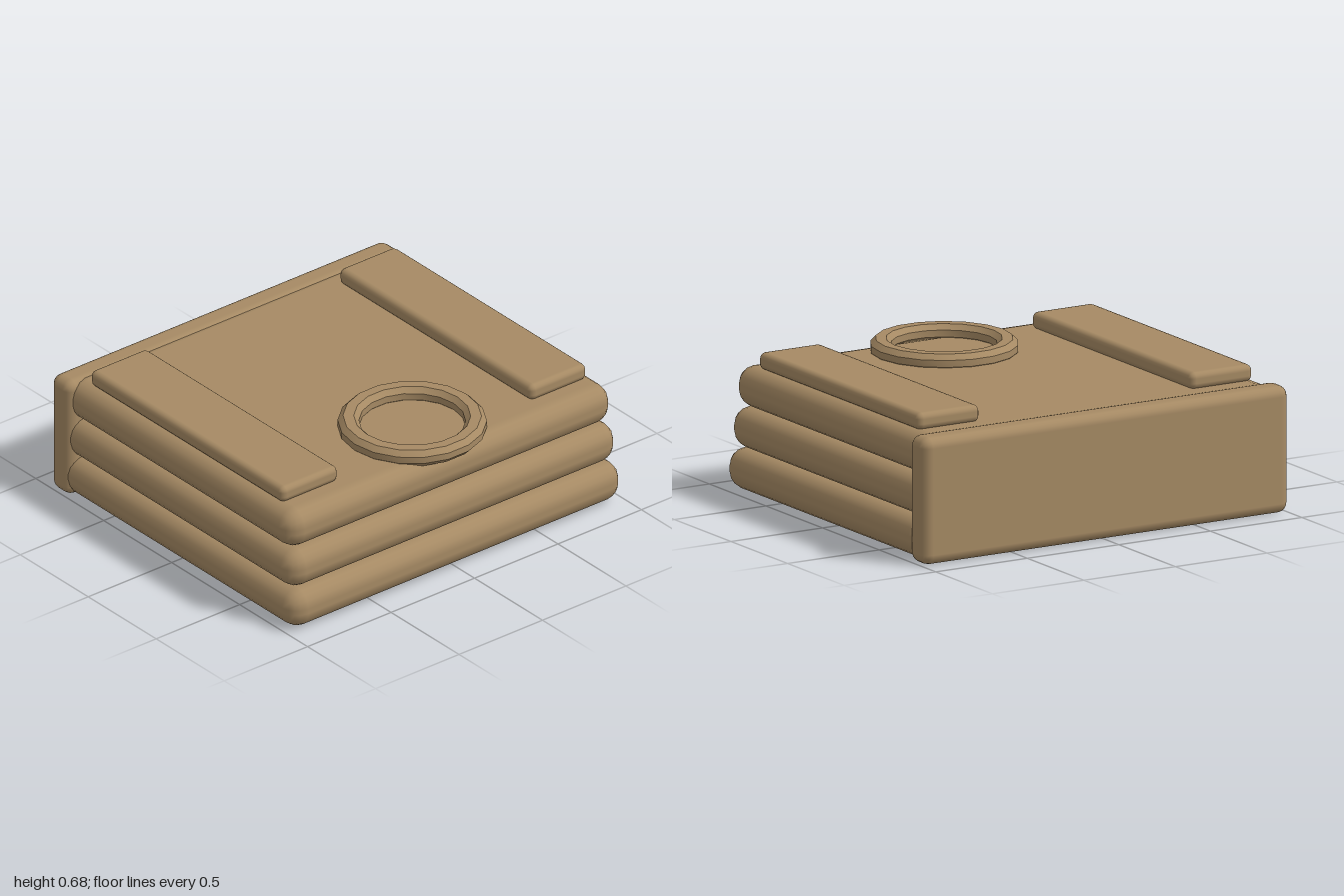
import * as THREE from 'three';
import { toCreasedNormals } from 'three/addons/utils/BufferGeometryUtils.js';
import { RoundedBoxGeometry } from 'three/addons/geometries/RoundedBoxGeometry.js';

export function createModel() {
  const model = new THREE.Group();
  model.name = 'paddedPack';
  const canvas = new THREE.MeshStandardMaterial({ color: 0xa68a64 });
  canvas.name = 'tanCanvas';

  // Rounded pad given by its extents on each axis
  function pad(name, [x0, x1], [y0, y1], [z0, z1], radius, segments = 2) {
    const geometry = new RoundedBoxGeometry(x1 - x0, y1 - y0, z1 - z0, segments, radius);
    const mesh = new THREE.Mesh(geometry, canvas);
    mesh.position.set((x0 + x1) / 2, (y0 + y1) / 2, (z0 + z1) / 2);
    mesh.name = name;
    model.add(mesh);
  }

  // Three stacked cushions, each slightly smaller than the one below
  for (let i = 0; i < 3; i++) {
    const half = 0.995 - i * 0.01;
    const y = 0.006 + i * 0.2;
    pad('cushion' + (i + 1), [-half, half], [y, y + 0.2], [-0.84, 0.893 - i * 0.025], 0.088);
  }

  // Upright panel across the back
  pad('backPanel', [-1, 1], [0, 0.61], [-0.9, -0.755], 0.05);

  // Pair of flat straps on top
  for (const side of [-1, 1]) {
    const xs = [side * 0.575, side * 0.915].sort((a, b) => a - b);
    pad(side > 0 ? 'leftStrap' : 'rightStrap', xs, [0.6, 0.683], [-0.71, 0.71], 0.03);
  }

  // Eight-sided ring lying near the front edge
  const profile = [
    [0.272, -0.043], [0.32, -0.043], [0.347, -0.015], [0.347, 0.018],
    [0.322, 0.043], [0.272, 0.043], [0.248, 0.018], [0.248, -0.015], [0.272, -0.043],
  ].map(([r, y]) => new THREE.Vector2(r, y));
  const ring = new THREE.Mesh(
    toCreasedNormals(new THREE.LatheGeometry(profile, 18, Math.PI / 18), 0.5), canvas);
  ring.position.set(0, 0.624, 0.542);
  ring.name = 'ring';
  model.add(ring);

  return model;
}
